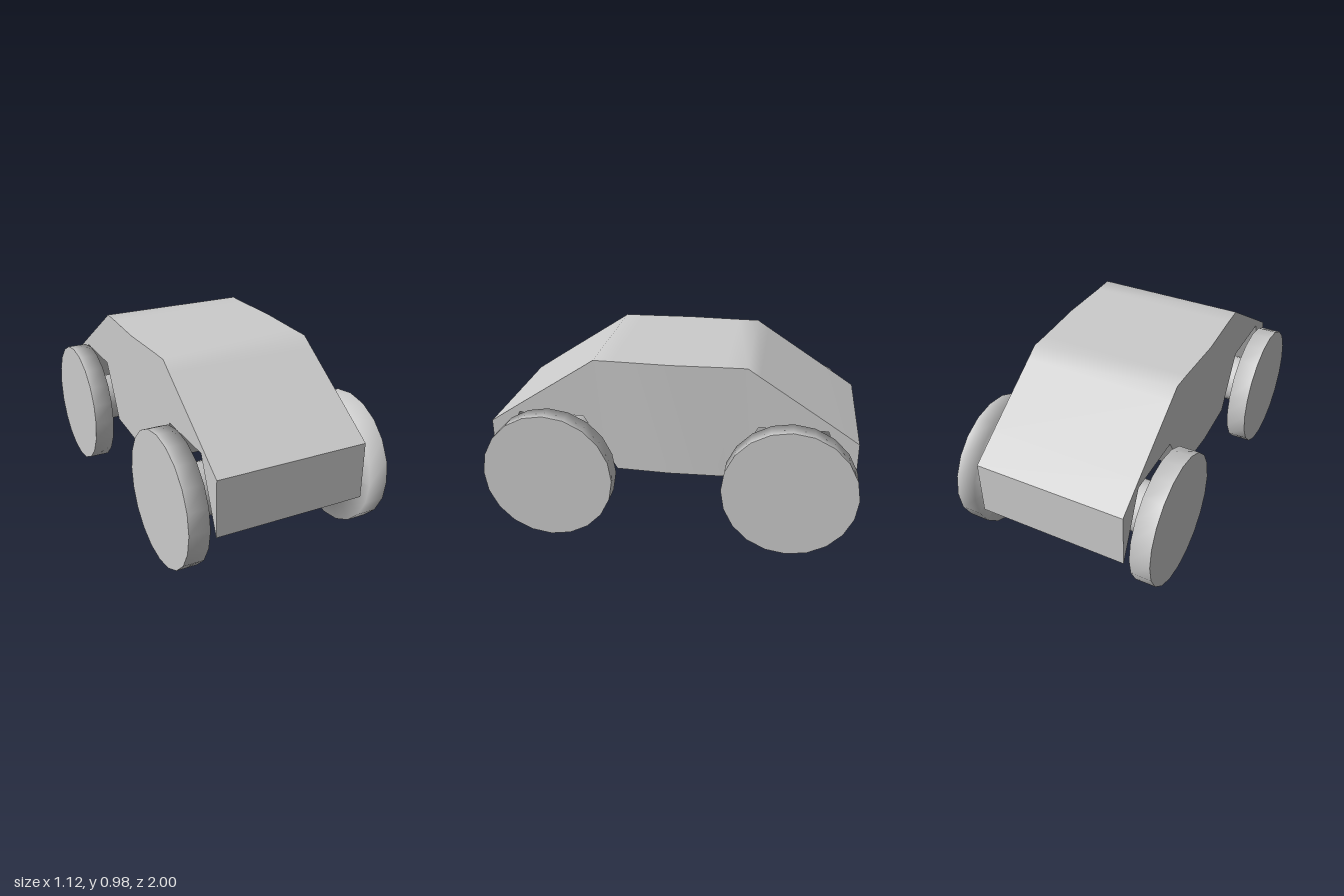
import * as THREE from 'three';
import { toCreasedNormals } from 'three/addons/utils/BufferGeometryUtils.js';

const material = new THREE.MeshStandardMaterial({ color: 0xcccccc });

function addMesh(parent, name, geometry) {
  const mesh = new THREE.Mesh(geometry, material);
  mesh.name = name;
  parent.add(mesh);
  return mesh;
}

// Body shell: cross-sections along z as [z, half width, top, bottom], mirrored front to back
function bodyGeometry() {
  const half = [
    [0.29, 0.414, 0.98, 0.36],    // start of the wheel arch
    [0.40, 0.412, 0.98, 0.548],   // edge of the roof
    [0.467, 0.412, 0.936, 0.662], // arch ceiling
    [0.822, 0.412, 0.706, 0.662],
    [0.983, 0.412, 0.60, 0.293],  // bumper panel
  ];
  const stations = [
    ...half.map(([z, w, t, b]) => [-z, w, t, b]).reverse(),
    [0, 0.425, 0.98, 0.36],
    ...half,
  ];
  const positions = [];
  const index = [];
  for (const [z, w, top, bottom] of stations) {
    positions.push(w, top, z, -w, top, z, -w, bottom, z, w, bottom, z);
  }
  for (let i = 0; i < stations.length - 1; i++) {
    for (let j = 0; j < 4; j++) {
      const a = i * 4 + j, b = i * 4 + (j + 1) % 4;
      index.push(a, b, b + 4, a, b + 4, a + 4);
    }
  }
  const n = (stations.length - 1) * 4;
  index.push(0, 2, 1, 0, 3, 2, n, n + 1, n + 2, n, n + 2, n + 3);
  const geometry = new THREE.BufferGeometry();
  geometry.setAttribute('position', new THREE.Float32BufferAttribute(positions, 3));
  geometry.setIndex(index);
  return toCreasedNormals(geometry, 0.7);
}

// Axle with a dished wheel at each end, turned around x
function wheelPair(name, z) {
  const group = new THREE.Group();
  group.name = name;
  const R = 0.355, r = 0.14, sides = 20;
  const profile = [
    [R, -0.56], [R, -0.45], [r, -0.428], [r, 0.428], [R, 0.45], [R, 0.56],
  ].map(([x, y]) => new THREE.Vector2(x, y));
  addMesh(group, 'axleAndRims', new THREE.LatheGeometry(profile, sides).rotateZ(-Math.PI / 2));
  for (const side of [1, -1]) {
    const disc = new THREE.CircleGeometry(R, sides).rotateY(side * Math.PI / 2);
    addMesh(group, side > 0 ? 'leftWheelFace' : 'rightWheelFace', disc).position.x = side * 0.56;
  }
  group.position.set(0, R, z);
  return group;
}

export function createModel() {
  const car = new THREE.Group();
  car.name = 'car';
  addMesh(car, 'body', bodyGeometry());
  car.add(wheelPair('frontWheels', 0.645), wheelPair('rearWheels', -0.645));
  return car;
}
